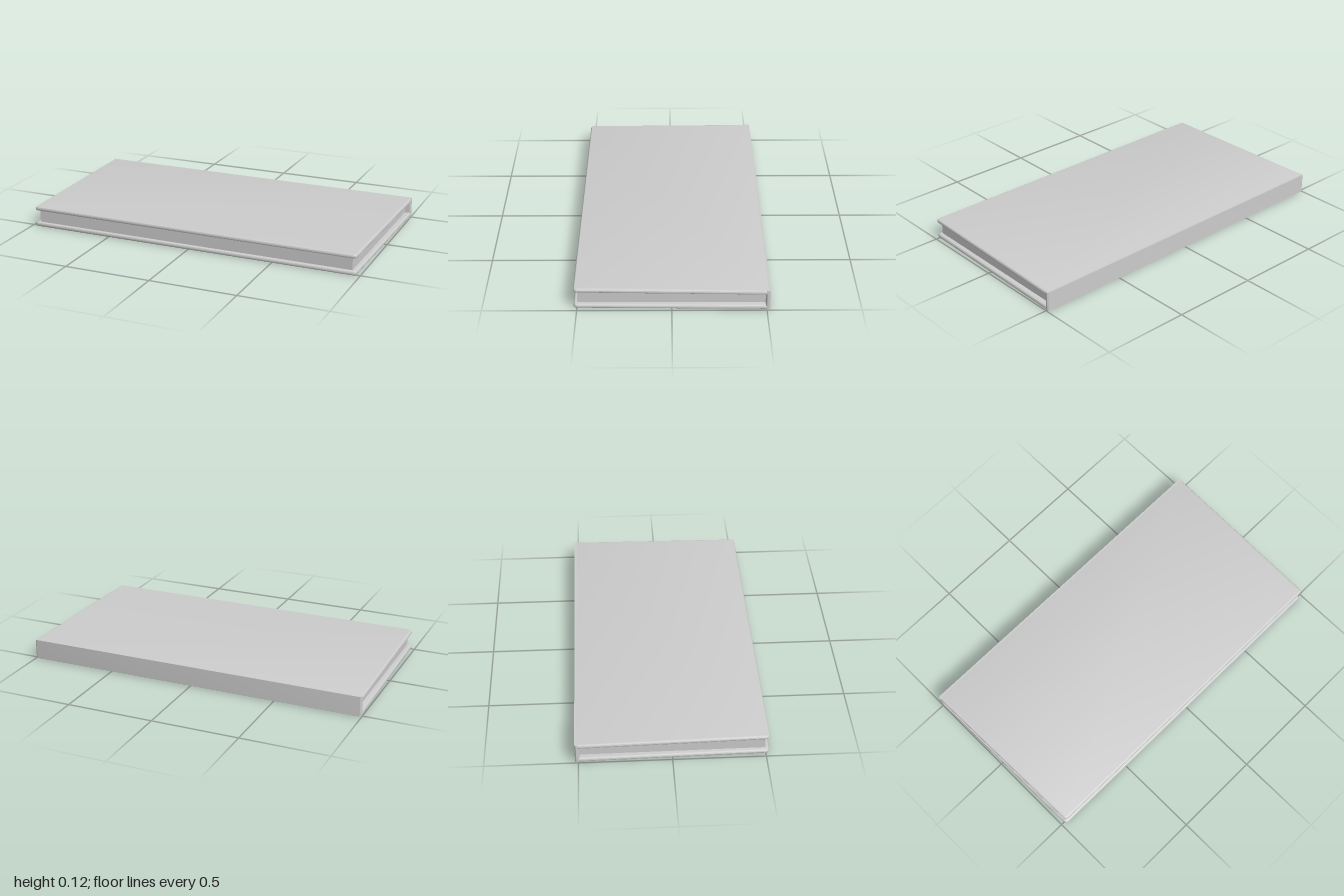
import * as THREE from 'three';
import { toCreasedNormals } from 'three/addons/utils/BufferGeometryUtils.js';

const material = new THREE.MeshStandardMaterial({ color: 0xcccccc });

const BACK = -0.518, FRONT = 0.518; // spine side and opening side
const BOARD = 0.024;                // board thickness
const R = BOARD / 2;                // radius of the rounded board edges
const HALF_BACK = 1.0, HALF_FRONT = 0.98;

// Outline symmetric in x (plan view), with corners cut by a small curve
function roundedOutline(points, r) {
  const shape = new THREE.Shape();
  points.forEach((p, i) => {
    const prev = points[(i + points.length - 1) % points.length];
    const next = points[(i + 1) % points.length];
    const a = p.clone().add(prev.clone().sub(p).setLength(r));
    const b = p.clone().add(next.clone().sub(p).setLength(r));
    if (i === 0) shape.moveTo(a.x, a.y);
    else shape.lineTo(a.x, a.y);
    shape.quadraticCurveTo(p.x, p.y, b.x, b.y);
  });
  shape.closePath();
  return shape;
}

function trapezoid(halfBack, halfFront, back, front) {
  return [[-halfBack, back], [halfBack, back], [halfFront, front], [-halfFront, front]]
    .map(([x, z]) => new THREE.Vector2(x, z));
}

// Extrudes a plan outline upwards, centred on y = 0
function slab(shape, options) {
  const geometry = new THREE.ExtrudeGeometry(shape, options);
  geometry.rotateX(Math.PI / 2);
  geometry.translate(0, options.depth / 2, 0);
  return toCreasedNormals(geometry, 0.7);
}

function addPart(group, name, geometry, y) {
  const mesh = new THREE.Mesh(geometry, material);
  mesh.name = name;
  mesh.position.y = y;
  group.add(mesh);
  return mesh;
}

export function createModel() {
  const book = new THREE.Group();
  book.name = 'book';

  // Two boards with half-round edges, opening very slightly towards the front
  const boardShape = roundedOutline(
    trapezoid(HALF_BACK - R, HALF_FRONT - R, BACK + R, FRONT - R), 0.008);
  const boardGeometry = slab(boardShape, {
    depth: 0.001, bevelEnabled: true, bevelThickness: R - 0.0005, bevelSize: R,
    bevelSegments: 6, curveSegments: 4,
  });
  const splay = 0.003;
  addPart(book, 'topCover', boardGeometry, 0.106).rotation.x = -splay;
  addPart(book, 'bottomCover', boardGeometry, 0.0137).rotation.x = splay;

  // Flat spine with half-round ends
  const spineShape = new THREE.Shape();
  spineShape.moveTo(-HALF_BACK + R, BACK);
  spineShape.lineTo(HALF_BACK - R, BACK);
  spineShape.absarc(HALF_BACK - R, BACK + R, R, -Math.PI / 2, Math.PI / 2, false);
  spineShape.lineTo(-HALF_BACK + R, BACK + BOARD);
  spineShape.absarc(-HALF_BACK + R, BACK + R, R, Math.PI / 2, Math.PI * 1.5, false);
  addPart(book, 'spine',
    slab(spineShape, { depth: 0.113, bevelEnabled: false, curveSegments: 10 }), 0.0598);

  // Page block set back from the board edges
  const pageShape = new THREE.Shape(trapezoid(0.965, 0.955, BACK + R, 0.498));
  addPart(book, 'pages', slab(pageShape, { depth: 0.084, bevelEnabled: false }), 0.06);

  return book;
}
